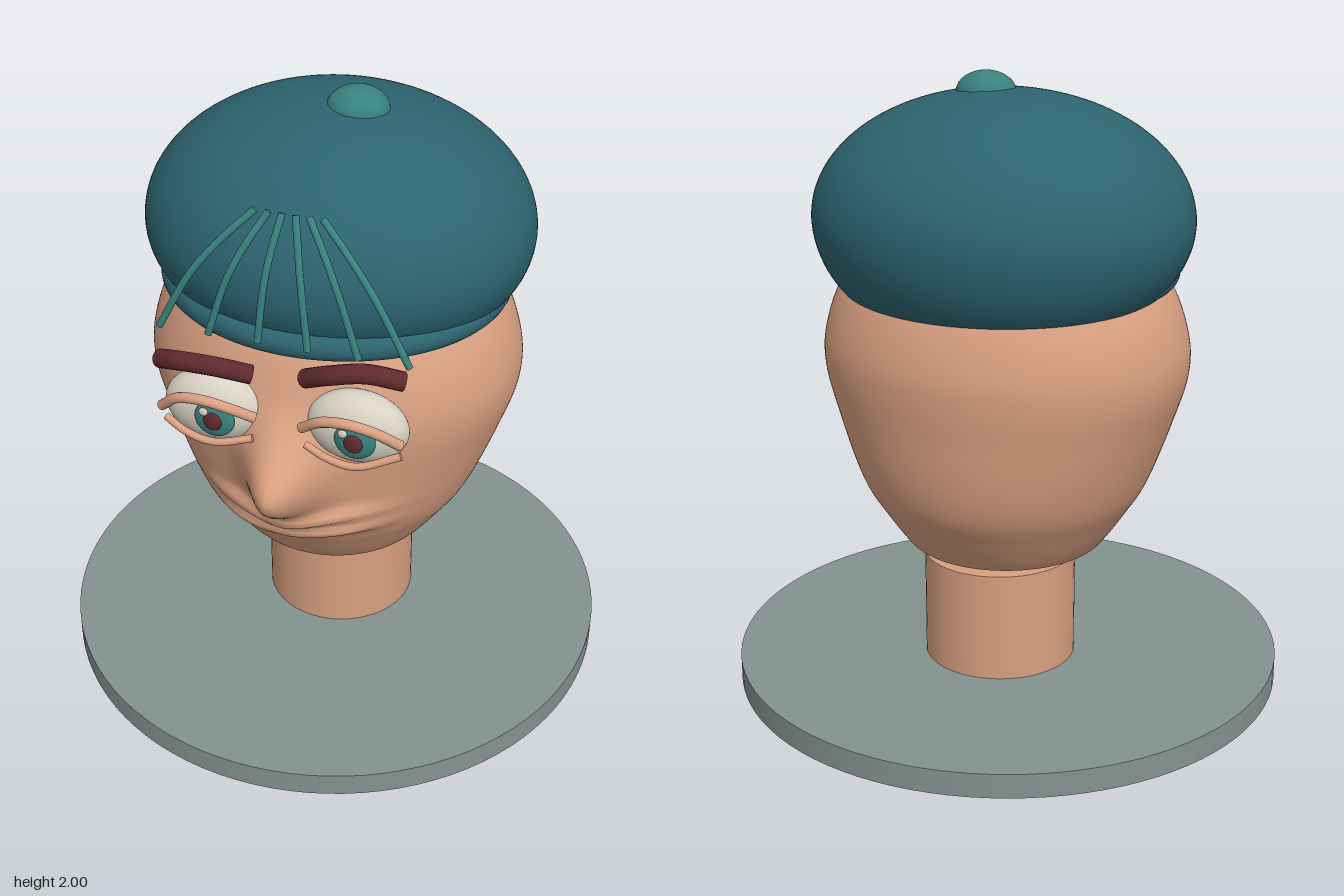
import * as THREE from 'three';
import { mergeVertices } from 'three/addons/utils/BufferGeometryUtils.js';

const material = (name, color) => {
  const m = new THREE.MeshStandardMaterial({ color });
  m.name = name;
  return m;
};

export function createModel() {
  const skin = material('skin', 0xd9a081);
  const capTeal = material('capTeal', 0x2d6470);
  const accentTeal = material('accentTeal', 0x38827f);
  const browRed = material('browRed', 0x5e2a2e);
  const eyeWhite = material('eyeWhite', 0xd8d2c4);
  const stone = material('stone', 0x84938f);
  capTeal.side = THREE.DoubleSide;

  const model = new THREE.Group();
  model.name = 'headOnStand';
  const add = (name, geometry, mat, parent = model) => {
    const mesh = new THREE.Mesh(geometry, mat);
    mesh.name = name;
    parent.add(mesh);
    return mesh;
  };
  const group = (name) => {
    const g = new THREE.Group();
    g.name = name;
    model.add(g);
    return g;
  };
  const ellipsoid = (name, [x, y, z], [rx, ry, rz], mat, parent) => {
    const mesh = add(name, new THREE.SphereGeometry(1, 40, 28), mat, parent);
    mesh.position.set(x, y, z);
    mesh.scale.set(rx, ry, rz);
    return mesh;
  };
  // Round bar along a smooth path, closed by a disc at each end
  const bar = (name, points, radius, mat, parent) => {
    const curve = new THREE.CatmullRomCurve3(points.map((p) => new THREE.Vector3(...p)));
    const mesh = add(name, new THREE.TubeGeometry(curve, 28, radius, 14), mat, parent);
    for (const [t, sign] of [[0, -1], [1, 1]]) {
      const disc = add(name + 'End', new THREE.CircleGeometry(radius, 14), mat, mesh);
      disc.position.copy(curve.getPointAt(t));
      disc.quaternion.setFromUnitVectors(
        new THREE.Vector3(0, 0, 1), curve.getTangentAt(t).multiplyScalar(sign));
    }
  };

  // Stand and neck
  add('base', new THREE.CylinderGeometry(0.9, 0.9, 0.08, 96), stone).position.y = 0.04;
  add('neck', new THREE.CylinderGeometry(0.248, 0.248, 0.36, 64), skin).position.set(0, 0.26, -0.068);

  // Head: turned profile, narrowed front to back, with nose and lips pushed out
  const profile = new THREE.SplineCurve([
    [0, 0.435], [0.2, 0.441], [0.3, 0.465], [0.335, 0.49], [0.405, 0.59], [0.47, 0.7],
    [0.55, 0.915], [0.594, 1.07], [0.585, 1.2], [0.525, 1.35], [0.4, 1.5], [0.2, 1.6], [0, 1.63],
  ].map((p) => new THREE.Vector2(...p))).getPoints(150);
  profile[0].x = profile[150].x = 0;
  let headGeo = new THREE.LatheGeometry(profile, 160, Math.PI);
  const pos = headGeo.attributes.position;
  const bell = (d, s) => Math.exp(-(d * d) / (2 * s * s));
  const { smoothstep } = THREE.MathUtils;
  for (let i = 0; i < pos.count; i++) {
    const x = pos.getX(i), y = pos.getY(i);
    let z = pos.getZ(i) * (1 - 0.12 * smoothstep(y, 0.65, 1.1)) - 0.015;
    const front = smoothstep(z, 0, 0.25);
    const nose = 0.21 * bell(x, 0.08) * bell(y - 0.965, y > 0.965 ? 0.1 : 0.105);
    const mouthWidth = Math.exp(-Math.pow(x / 0.27, 4));
    const lipY = y - 0.06 * x;
    const lips = mouthWidth * (0.045 * bell(lipY - 0.785, 0.018) + 0.05 * bell(lipY - 0.72, 0.022));
    z += front * (nose + lips);
    pos.setZ(i, z);
  }
  headGeo.deleteAttribute('uv');
  headGeo.deleteAttribute('normal');
  headGeo = mergeVertices(headGeo, 1e-5);
  headGeo.computeVertexNormals();
  add('head', headGeo, skin);

  // Cap: cut ellipsoid whose rim dips toward the back
  const capGeo = new THREE.SphereGeometry(1, 96, 48, 0, Math.PI * 2, 0, Math.PI * 0.675);
  capGeo.scale(0.61, 0.4, 0.54);
  const cp = capGeo.attributes.position;
  for (let i = 0; i < cp.count; i++) {
    const low = smoothstep(-cp.getY(i), 0, 0.22);
    cp.setY(i, cp.getY(i) + low * (0.048 * cp.getZ(i) - 0.001));
  }
  capGeo.computeVertexNormals();
  add('cap', capGeo, capTeal).position.set(0, 1.55, -0.045);

  // Rolled band standing out at the front of the cap
  const bandGeo = new THREE.TorusGeometry(1, 0.075, 20, 96);
  bandGeo.rotateX(Math.PI / 2);
  bandGeo.scale(0.515, 0.55, 0.475);
  const band = add('capBand', bandGeo, capTeal);
  band.position.set(0, 1.385, -0.012);
  band.rotation.x = -0.03;

  ellipsoid('capButton', [0.06, 1.932, -0.03], [0.096, 0.068, 0.086], accentTeal);

  // Strands fanning down over the front of the cap
  const fringe = group('fringe');
  for (let i = 0; i < 6; i++) {
    const s = i - 2.5;
    const top = s * 0.04 - 0.005, low = s * 0.152 - 0.003;
    bar('strand', [
      [top, 1.81, 0.43],
      [top + (low - top) * 0.36, 1.71, 0.475],
      [top + (low - top) * 0.64, 1.61, 0.503],
      [low, 1.42, 0.515],
    ], 0.011, accentTeal, fringe);
  }

  // Eyes and brows, each side set slightly differently
  const sides = [
    {
      name: 'right', ball: [-0.23, 1.152, 0.485], iris: [-0.205, 1.153], glint: [-0.232, 1.185],
      upper: [[-0.37, 1.17, 0.565], [-0.3, 1.235, 0.6], [-0.22, 1.25, 0.612], [-0.15, 1.23, 0.6], [-0.078, 1.185, 0.565]],
      lower: [[-0.36, 1.128, 0.56], [-0.29, 1.1, 0.58], [-0.2, 1.087, 0.588], [-0.085, 1.108, 0.565]],
      brow: [[-0.37, 1.332, 0.555], [-0.285, 1.365, 0.595], [-0.18, 1.37, 0.6], [-0.085, 1.335, 0.56]],
    },
    {
      name: 'left', ball: [0.217, 1.165, 0.485], iris: [0.23, 1.165], glint: [0.198, 1.197],
      upper: [[0.068, 1.18, 0.565], [0.14, 1.24, 0.6], [0.22, 1.257, 0.612], [0.3, 1.235, 0.6], [0.37, 1.18, 0.565]],
      lower: [[0.08, 1.122, 0.565], [0.15, 1.1, 0.582], [0.24, 1.092, 0.588], [0.37, 1.138, 0.56]],
      brow: [[0.08, 1.355, 0.56], [0.17, 1.41, 0.6], [0.27, 1.432, 0.595], [0.372, 1.4, 0.555]],
    },
  ];
  for (const s of sides) {
    const eye = group(s.name + 'Eye');
    ellipsoid('eyeball', s.ball, [0.157, 0.119, 0.082], eyeWhite, eye);
    ellipsoid('iris', [...s.iris, 0.56], [0.063, 0.063, 0.022], accentTeal, eye);
    ellipsoid('pupil', [...s.iris, 0.575], [0.03, 0.033, 0.016], browRed, eye);
    ellipsoid('glint', [...s.glint, 0.581], [0.014, 0.014, 0.007], eyeWhite, eye);
    bar('upperLid', s.upper, 0.016, skin, eye);
    bar('lowerLid', s.lower, 0.012, skin, eye);
    bar(s.name + 'Brow', s.brow, 0.029, browRed, model);
  }
  return model;
}
